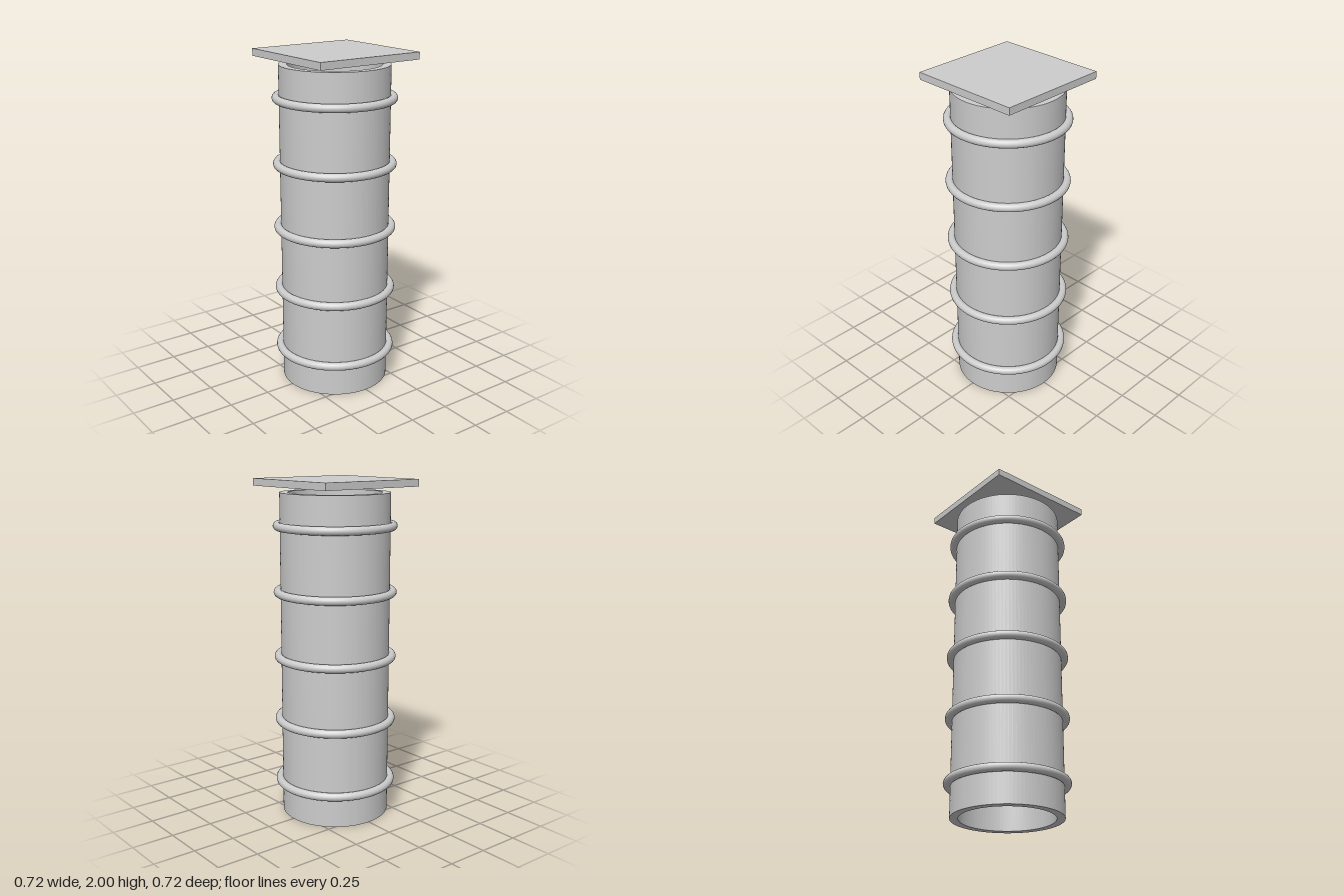
import * as THREE from 'three';

export function createModel() {
  const model = new THREE.Group();
  const grey = new THREE.MeshStandardMaterial({ color: 0xcccccc });
  grey.name = 'light grey';

  const add = (name, geometry, y) => {
    const mesh = new THREE.Mesh(geometry, grey);
    mesh.name = name;
    mesh.position.y = y;
    model.add(mesh);
  };

  // Hollow pipe, open at both ends
  const section = new THREE.Shape().absarc(0, 0, 0.32, 0, Math.PI * 2, false);
  section.holes.push(new THREE.Path().absarc(0, 0, 0.272, 0, Math.PI * 2, true));
  const pipe = new THREE.ExtrudeGeometry(section, {
    depth: 1.925, bevelEnabled: false, curveSegments: 48,
  });
  pipe.rotateX(-Math.PI / 2);
  add('pipe', pipe, 0);

  // Evenly spaced rings around the pipe
  const ring = new THREE.TorusGeometry(0.336, 0.0245, 16, 64);
  ring.rotateX(Math.PI / 2);
  for (let i = 0; i < 5; i++) add(`ring${i + 1}`, ring, 0.195 + i * 0.385);

  // Square cap plate floating just above the pipe
  add('capPlate', new THREE.BoxGeometry(0.673, 0.042, 0.673), 1.979);

  return model;
}
